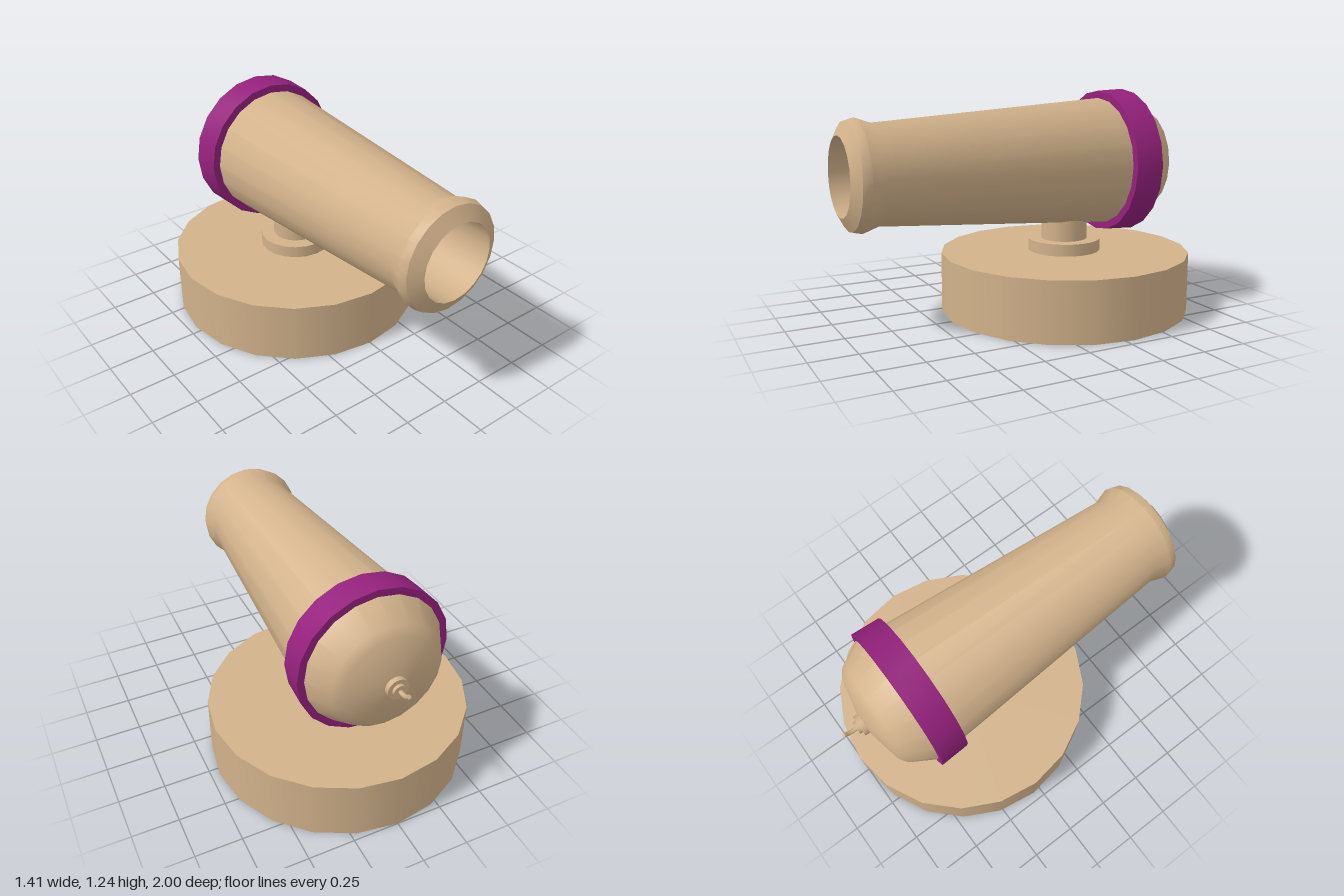
import * as THREE from 'three';
import { toCreasedNormals } from 'three/addons/utils/BufferGeometryUtils.js';

const SIDES = 20;
const AXIS_Y = 0.832; // height of the barrel axis
const BASE_Z = -0.295; // centre of the stand

export function createModel() {
  const model = new THREE.Group();
  const tan = new THREE.MeshStandardMaterial({ color: 0xd2b28b });
  tan.name = 'tan';
  const purple = new THREE.MeshStandardMaterial({ color: 0x94217c });
  purple.name = 'purple';

  function add(name, geometry, material, y = 0, z = 0) {
    const mesh = new THREE.Mesh(geometry, material);
    mesh.name = name;
    mesh.position.set(0, y, z);
    model.add(mesh);
    return mesh;
  }

  // Profile of [radius, z] pairs, turned about the barrel axis
  function turned(name, profile, material, sides = SIDES) {
    const points = profile.map(([r, z]) => new THREE.Vector2(r, z));
    const geometry = new THREE.LatheGeometry(points, sides).rotateX(Math.PI / 2);
    return add(name, toCreasedNormals(geometry, 0.6), material, AXIS_Y);
  }

  // Upright drum of the stand
  function drum(name, radius, bottom, top) {
    const geometry = new THREE.CylinderGeometry(radius, radius, top - bottom, SIDES);
    add(name, geometry, tan, (bottom + top) / 2, BASE_Z);
  }

  // Stand
  drum('base', 0.705, 0, 0.333);
  drum('collar', 0.205, 0.333, 0.4);
  drum('post', 0.13, 0.4, 0.54);

  // Barrel: domed breech, tapering body, flared muzzle and hollow bore
  turned('barrel', [
    [0, -0.88], [0.07, -0.877], [0.25, -0.838], [0.295, -0.805], [0.37, -0.675],
    [0.263, 0.83], [0.292, 0.915], [0.28, 0.96], [0.207, 1],
    [0.207, 0.1], [0, 0.1],
  ], tan);

  // Band around the breech
  turned('band', [
    [0.35, -0.675], [0.408, -0.675], [0.4, -0.515], [0.345, -0.515],
  ], purple);

  // Fuse holder and bent fuse
  turned('fuseHolder', [
    [0, -0.922], [0.034, -0.922], [0.034, -0.905], [0.057, -0.905], [0.057, -0.87],
  ], tan);
  const path = new THREE.CatmullRomCurve3([
    new THREE.Vector3(0, 0, -0.91),
    new THREE.Vector3(0, 0, -0.945),
    new THREE.Vector3(0, 0.008, -0.97),
    new THREE.Vector3(0, 0.026, -0.992),
  ]);
  add('fuse', new THREE.TubeGeometry(path, 8, 0.012, 8), tan, AXIS_Y);
  const tip = add('fuseTip', new THREE.CircleGeometry(0.012, 8), tan, AXIS_Y + 0.026, -0.992);
  tip.quaternion.setFromUnitVectors(new THREE.Vector3(0, 0, 1), path.getTangent(1));

  return model;
}
